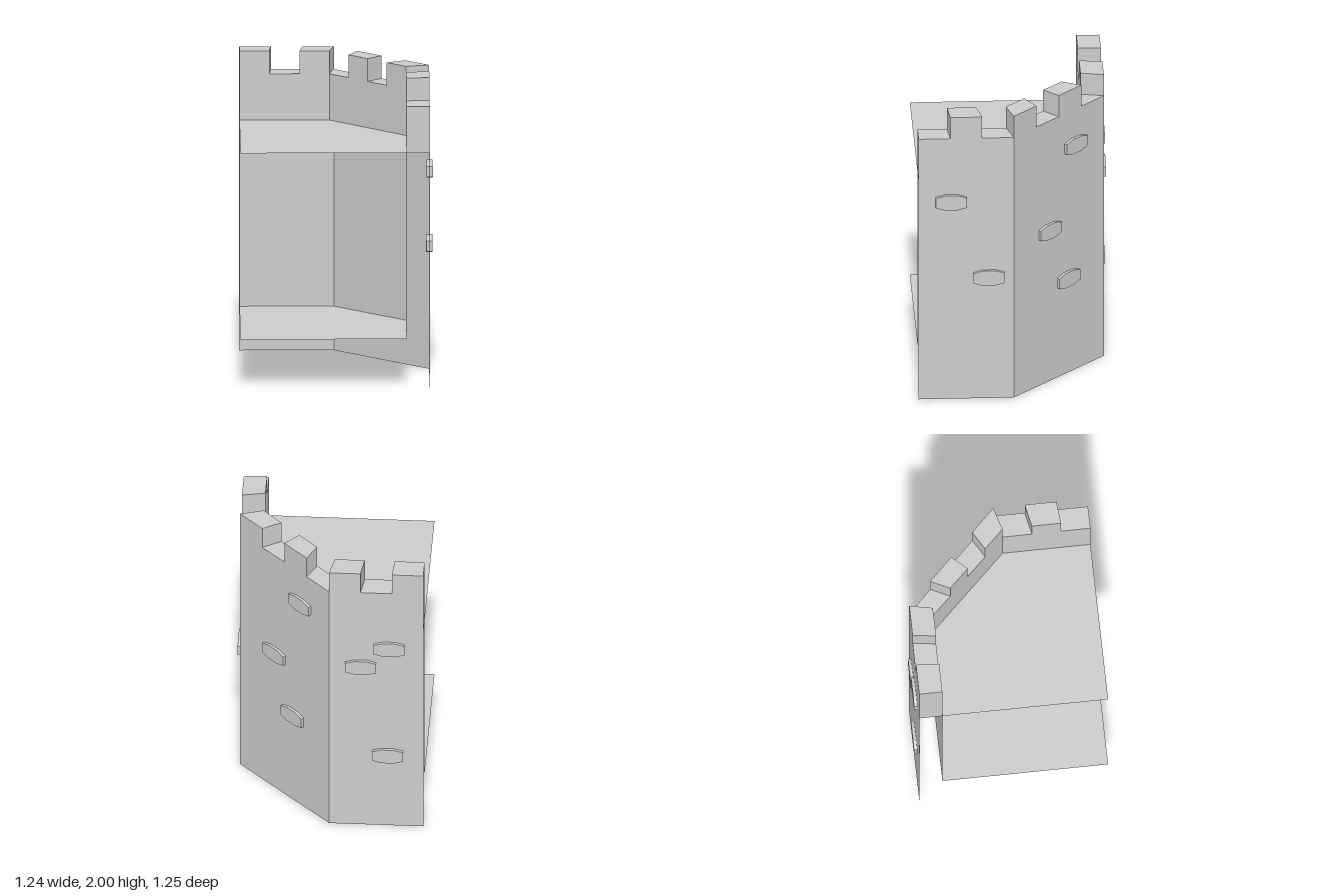
import * as THREE from 'three';

const V = (x, z) => new THREE.Vector2(x, z);
const BASE = 0.32, DECK = 1.545, SILL = 1.85, TOP = 2;

// Plan outlines as (x, z): back run, diagonal run, side run
const OUTER = [V(-0.62, -0.605), V(-0.01, -0.605), V(0.6, 0.005), V(0.6, 0.62)];
const LINING = [V(-0.62, -0.455), V(-0.01, -0.455), V(0.45, 0.005), V(0.45, 0.62)];
const PARAPET = [V(-0.62, -0.455), V(-0.04, -0.455), V(0.45, 0.05), V(0.45, 0.62)];

const material = new THREE.MeshStandardMaterial({
  color: 0xcccccc, flatShading: true, side: THREE.DoubleSide,
});

export function createModel() {
  const model = new THREE.Group();
  model.name = 'towerSection';

  const add = (parent, name, geometry) => {
    const mesh = new THREE.Mesh(geometry, material);
    mesh.name = name;
    parent.add(mesh);
    return mesh;
  };
  const group = (name) => {
    const g = new THREE.Group();
    g.name = name;
    model.add(g);
    return g;
  };
  const planShape = (pts) => new THREE.Shape(pts.map((p) => V(p.x, -p.y)));

  // Thin wall panels standing along a plan outline
  const panels = (name, pts, y0, y1) => {
    const parent = group(name);
    for (let i = 0; i < pts.length - 1; i++) {
      const d = pts[i + 1].clone().sub(pts[i]);
      const mid = pts[i].clone().lerp(pts[i + 1], 0.5);
      const panel = add(parent, name + 'Panel', new THREE.PlaneGeometry(d.length(), y1 - y0));
      panel.position.set(mid.x, (y0 + y1) / 2, mid.y);
      panel.rotation.y = Math.atan2(-d.y, d.x);
    }
  };
  panels('outerWall', OUTER, 0, DECK);
  panels('innerWall', LINING, BASE, DECK);

  // Floors fill the plan up to the open front corner
  const floor = (name, pts, y) => {
    const g = new THREE.ShapeGeometry(planShape([...pts, V(-0.62, 0.62)]));
    add(model, name, g.rotateX(-Math.PI / 2)).position.y = y;
  };
  floor('lowerFloor', LINING, BASE);
  floor('upperFloor', PARAPET, DECK);

  // Parapet blocks: 1 is a raised merlon, 0 is a gap
  const parapet = group('parapet');
  [[1, 0, 1], [0, 1, 0, 1], [0, 1, 0]].forEach((pattern, run) => {
    const at = (line, t) => line[run].clone().lerp(line[run + 1], t);
    pattern.forEach((raised, i) => {
      const a = i / pattern.length, b = (i + 1) / pattern.length;
      const shape = planShape([at(OUTER, a), at(OUTER, b), at(PARAPET, b), at(PARAPET, a)]);
      const depth = (raised ? TOP : SILL) - DECK;
      const g = new THREE.ExtrudeGeometry(shape, { depth, bevelEnabled: false });
      add(parapet, raised ? 'merlon' : 'crenel', g.rotateX(-Math.PI / 2)).position.y = DECK;
    });
  });

  // Projecting stones: eight-sided blocks set halfway into the wall
  const outline = [[-0.1, -0.035], [-0.04, -0.052], [0.04, -0.052], [0.1, -0.035],
    [0.1, 0.035], [0.04, 0.052], [-0.04, 0.052], [-0.1, 0.035]];
  const stone = new THREE.ExtrudeGeometry(
    new THREE.Shape(outline.map(([x, y]) => V(x, y))), { depth: 0.04, bevelEnabled: false });
  stone.translate(0, 0, -0.02);
  const stones = group('wallStones');
  const diagonal = (z, y) => [z + 0.595, y, z, Math.PI * 0.75];
  [
    [-0.4, 1.41, -0.605, 0], [-0.215, 1.26, -0.605, 0], [-0.39, 0.56, -0.605, 0],
    diagonal(-0.41, 1.6), diagonal(-0.235, 1.07), diagonal(-0.36, 0.67),
    [0.6, 1.4, 0.41, Math.PI / 2], [0.6, 0.86, 0.165, Math.PI / 2],
    [0.165, 1.435, -0.28, -Math.PI / 4],
  ].forEach(([x, y, z, turn]) => {
    const mesh = add(stones, 'wallStone', stone);
    mesh.position.set(x, y, z);
    mesh.rotation.y = turn;
  });

  return model;
}
